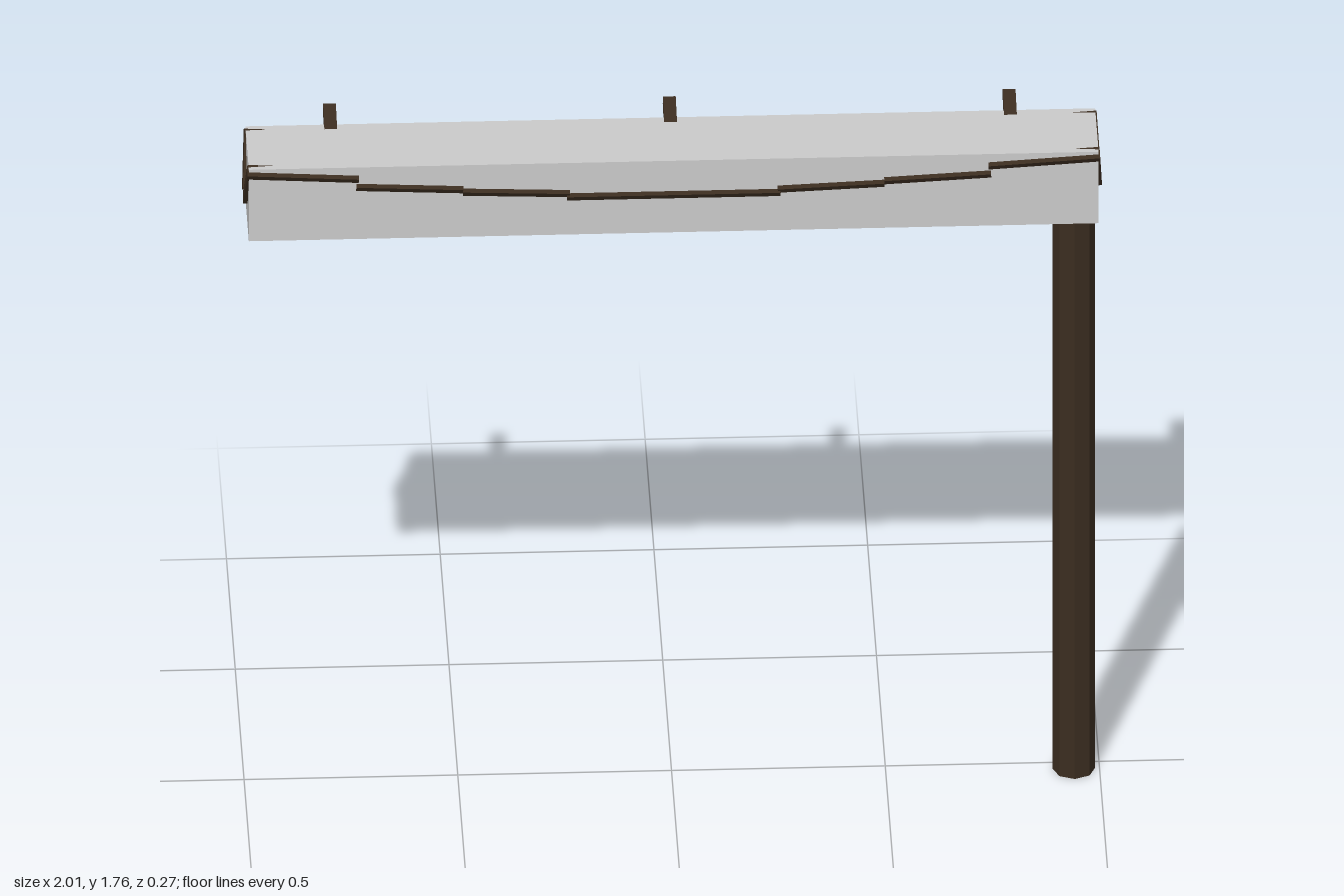
import * as THREE from 'three';

export function createModel() {
  const model = new THREE.Group();
  const wood = new THREE.MeshStandardMaterial({ color: 0x3b2d20 });
  wood.name = 'dark wood';
  const grey = new THREE.MeshStandardMaterial({ color: 0xcacaca });
  grey.name = 'light grey';
  const midZ = 0.0275; // centre line of the trough

  function box(name, size, pos, material) {
    const mesh = new THREE.Mesh(new THREE.BoxGeometry(...size), material);
    mesh.name = name;
    mesh.position.set(...pos);
    model.add(mesh);
    return mesh;
  }

  // Long block around the trough
  box('beamBlock', [1.988, 0.195, 0.197], [0, 1.6425, midZ], grey);

  // V-shaped trough boards, stepping down towards the middle
  const steps = [
    // centre x, centre y, length, slope
    [0.87, 1.668, 0.262, 0.06],
    [0.62, 1.632, 0.25, 0.05],
    [0.37, 1.614, 0.25, 0.04],
    [0.125, 1.600, 0.25, 0],
  ];
  for (const side of [-1, 1]) {
    for (const end of [-1, 1]) {
      for (const [x, y, length, slope] of steps) {
        const board = box('troughBoard', [length, 0.142, 0.03], [end * x, y, midZ + side * 0.0565], wood);
        board.rotation.order = 'ZYX';
        board.rotation.set(side * 0.57, 0, end * slope);
      }
    }
  }

  // Small tilted pegs along the back edge
  for (const x of [-0.795, 0, 0.795]) {
    const peg = box('backPeg', [0.03, 0.026, 0.11], [x, 1.735, -0.078], wood);
    peg.rotation.x = 0.3;
  }

  // Eight-sided post under the left end
  const geometry = new THREE.CylinderGeometry(0.05, 0.05, 1.548, 8).toNonIndexed();
  geometry.computeVertexNormals();
  const post = new THREE.Mesh(geometry, wood);
  post.name = 'post';
  post.position.set(0.94, 0.774, midZ);
  model.add(post);

  return model;
}
